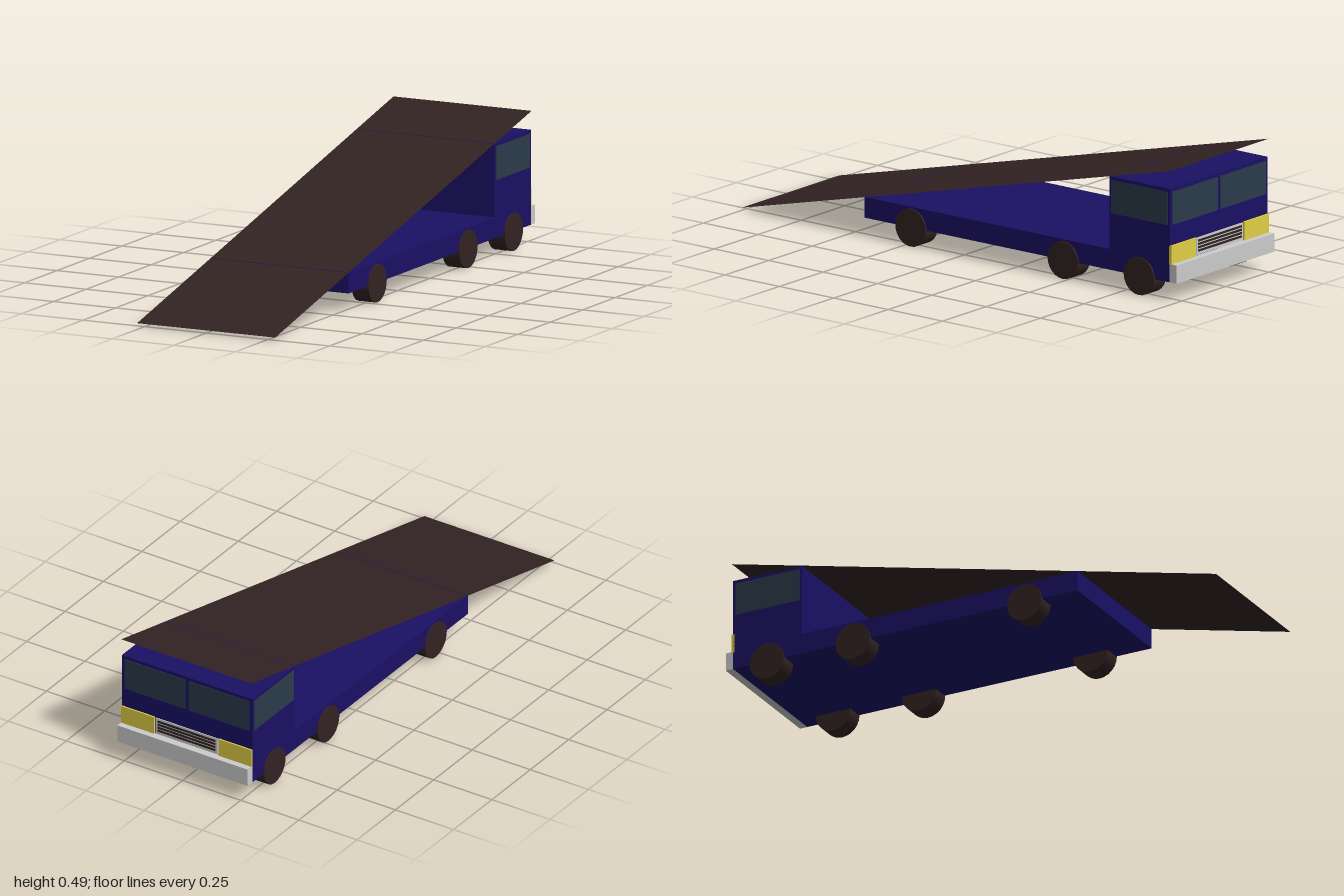
import * as THREE from 'three';

const mat = (color, side = THREE.FrontSide) => new THREE.MeshStandardMaterial({ color, side });

export function createModel() {
  const truck = new THREE.Group();
  truck.name = 'rampTruck';
  const blue = mat(0x1a1064);
  const dark = mat(0x332323);
  const glass = mat(0x2b3a4a);
  const yellow = mat(0xe0cf45);
  const silver = mat(0xcccccc);

  const add = (name, geometry, material, x = 0, y = 0, z = 0) => {
    const mesh = new THREE.Mesh(geometry, material);
    mesh.name = name;
    mesh.position.set(x, y, z);
    truck.add(mesh);
    return mesh;
  };
  // Box given by its limits on each axis
  const block = (name, material, [x0, x1], [y0, y1], [z0, z1]) =>
    add(name, new THREE.BoxGeometry(x1 - x0, y1 - y0, z1 - z0), material,
      (x0 + x1) / 2, (y0 + y1) / 2, (z0 + z1) / 2);

  // Cab and flat bed as one L-shaped side profile, extruded across the width
  const half = 0.28;
  const profile = new THREE.Shape([
    [-0.435, 0.07], [0.97, 0.07], [0.97, 0.418], [0.69, 0.418], [0.69, 0.147], [-0.435, 0.147],
  ].map(([x, y]) => new THREE.Vector2(x, y)));
  const bodyGeo = new THREE.ExtrudeGeometry(profile, { depth: half * 2, bevelEnabled: false });
  bodyGeo.translate(0, 0, -half);
  bodyGeo.rotateY(Math.PI / 2); // profile x becomes -z
  add('body', bodyGeo, blue);

  // Sloping ramp sheet resting on the bed end and the cab roof
  const zLow = 1, zHigh = -0.975, yLow = 0.01, yHigh = 0.486;
  const run = zLow - zHigh, rise = yHigh - yLow;
  const ramp = add('ramp', new THREE.PlaneGeometry(half * 2, Math.hypot(run, rise)),
    mat(0x332323, THREE.DoubleSide), 0, (yLow + yHigh) / 2, (zLow + zHigh) / 2);
  ramp.rotation.x = -Math.PI / 2 + Math.atan2(rise, run);

  // Wheels, windows and headlights on both sides
  const wheelGeo = new THREE.CylinderGeometry(0.07, 0.07, 0.07, 24).rotateZ(Math.PI / 2);
  for (const s of [-1, 1]) {
    const span = (a, b) => [Math.min(s * a, s * b), Math.max(s * a, s * b)];
    for (const z of [-0.83, -0.48, 0.22]) add('wheel', wheelGeo, dark, s * 0.25, 0.07, z);
    block('sideWindow', glass, span(0.275, 0.282), [0.282, 0.405], [-0.96, -0.7]);
    block('windscreen', glass, span(0.007, 0.268), [0.282, 0.405], [-0.972, -0.965]);
    block('headlight', yellow, span(0.138, 0.28), [0.135, 0.207], [-0.976, -0.965]);
  }

  // Grille plate with dark slots
  block('grille', silver, [-0.134, 0.134], [0.14, 0.205], [-0.974, -0.965]);
  for (let i = 0; i < 4; i++) {
    const y = 0.152 + i * 0.0125;
    block('grilleSlot', dark, [-0.124, 0.124], [y, y + 0.008], [-0.976, -0.966]);
  }

  block('bumper', silver, [-half, half], [0.07, 0.138], [-1, -0.968]);
  return truck;
}
